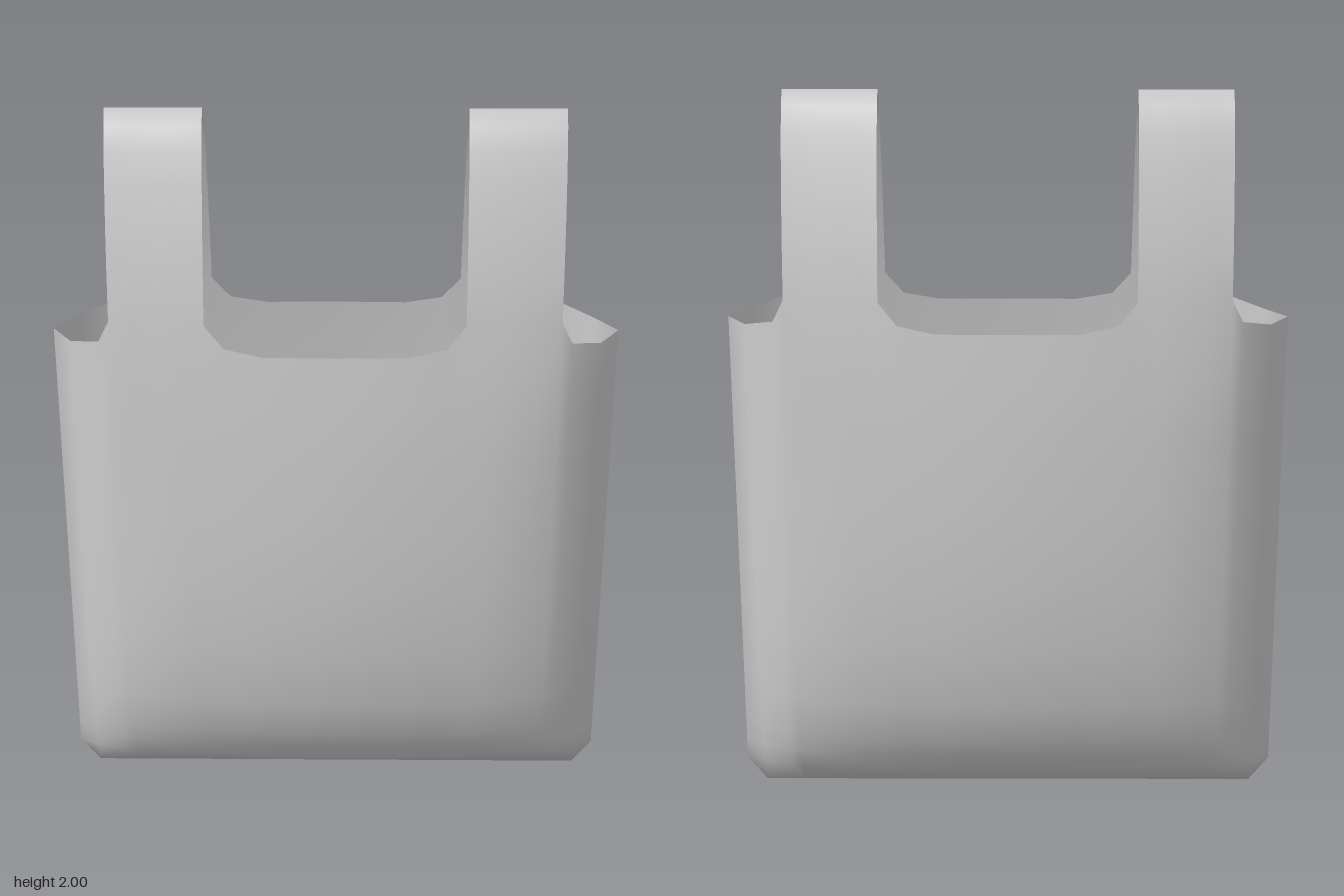
import * as THREE from 'three';

// Piecewise-linear lookup in a list of [input, output] pairs
function lookup(table, t) {
  for (let i = 1; i < table.length; i++) {
    const [a, va] = table[i - 1], [b, vb] = table[i];
    if (t <= b) return va + (vb - va) * (t - a) / (b - a);
  }
  return table[table.length - 1][1];
}

// Half depth across the width, at the belly and at the opening
const belly = [[0, 0.24], [0.19, 0.232], [0.34, 0.216], [0.465, 0.198], [0.59, 0.158], [0.62, 0.14], [0.7, 0.085], [0.755, 0]];
const mouth = [[0, 0.195], [0.19, 0.191], [0.34, 0.18], [0.465, 0.17], [0.59, 0.154], [0.62, 0.138], [0.7, 0.085], [0.755, 0]];
// Fullness towards the bottom seam, and taper up the handles
const bottomFill = [[0, 0], [0.07, 0.36], [0.2, 0.69], [0.32, 0.86], [0.5, 0.965], [0.7, 1]];
const handleTaper = [[1.39, 1], [1.47, 0.94], [1.6, 0.81], [1.72, 0.66], [1.83, 0.48], [1.9, 0.34], [1.96, 0.19], [2, 0]];
// Cut line of the opening
const rim = [[0, 1.39], [0.19, 1.39], [0.29, 1.41], [0.34, 1.47], [0.59, 1.47], [0.62, 1.41], [0.7, 1.39], [0.755, 1.39]];

function depth(x, y) {
  const ax = Math.abs(x);
  if (y <= 0.7) return lookup(belly, ax) * lookup(bottomFill, y);
  if (y >= 1.39) return lookup(mouth, ax) * lookup(handleTaper, y);
  const k = Math.pow((y - 0.7) / 0.69, 1.9);
  return THREE.MathUtils.lerp(lookup(belly, ax), lookup(mouth, ax), k);
}

export function createModel() {
  const half = [0.1, 0.19, 0.29, 0.34, 0.4, 0.465, 0.53, 0.59, 0.62, 0.7, 0.755];
  const columns = [...half.map(x => -x).reverse(), 0, ...half];
  const bodyRows = [0, 0.07, 0.13, 0.2, 0.32, 0.5, 0.7, 0.9, 1.1, 1.25];
  const handleRows = handleTaper.slice(1).map(p => p[0]);

  // Shared welded vertices, so the shading runs smoothly over seams and parts
  const positions = [], known = new Map();
  function vertex(x, y, side) {
    if (y === 0 && Math.abs(x) > 0.75) { // clipped bottom corner
      x = Math.sign(x) * 0.728;
      y = 0.035;
      side = 0;
    }
    const z = side * depth(x, y);
    const key = [x, y, z].map(n => Math.round(n * 1e4)).join();
    if (!known.has(key)) {
      known.set(key, positions.length / 3);
      positions.push(x, y, z);
    }
    return known.get(key);
  }

  // One sheet of quads between two columns, on the front or back
  function strip(index, x0, x1, rows0, rows1, side) {
    for (let j = 0; j + 1 < rows0.length; j++) {
      const a = vertex(x0, rows0[j], side), b = vertex(x1, rows1[j], side);
      const c = vertex(x1, rows1[j + 1], side), d = vertex(x0, rows0[j + 1], side);
      if (side > 0) index.push(a, b, c, a, c, d);
      else index.push(a, c, b, a, d, c);
    }
  }

  const parts = { bagBody: [], leftHandle: [], rightHandle: [] };
  const rowsAt = x => [...bodyRows, lookup(rim, Math.abs(x))];
  for (const side of [1, -1]) {
    for (let i = 0; i + 1 < columns.length; i++) {
      const x0 = columns[i], x1 = columns[i + 1], mid = (x0 + x1) / 2;
      strip(parts.bagBody, x0, x1, rowsAt(x0), rowsAt(x1), side);
      if (Math.abs(mid) > 0.34 && Math.abs(mid) < 0.59) {
        strip(mid > 0 ? parts.leftHandle : parts.rightHandle, x0, x1, handleRows, handleRows, side);
      }
    }
  }

  // Normals come from the whole sheet, then each part takes its own faces
  const whole = new THREE.BufferGeometry();
  whole.setAttribute('position', new THREE.Float32BufferAttribute(positions, 3));
  whole.setIndex(Object.values(parts).flat());
  whole.computeVertexNormals();

  const material = new THREE.MeshStandardMaterial({ color: 0xcccccc, side: THREE.DoubleSide });
  const group = new THREE.Group();
  group.name = 'carrierBag';
  for (const [name, index] of Object.entries(parts)) {
    const geometry = whole.clone().setIndex(index).toNonIndexed();
    const mesh = new THREE.Mesh(geometry, material);
    mesh.name = name;
    group.add(mesh);
  }
  return group;
}
